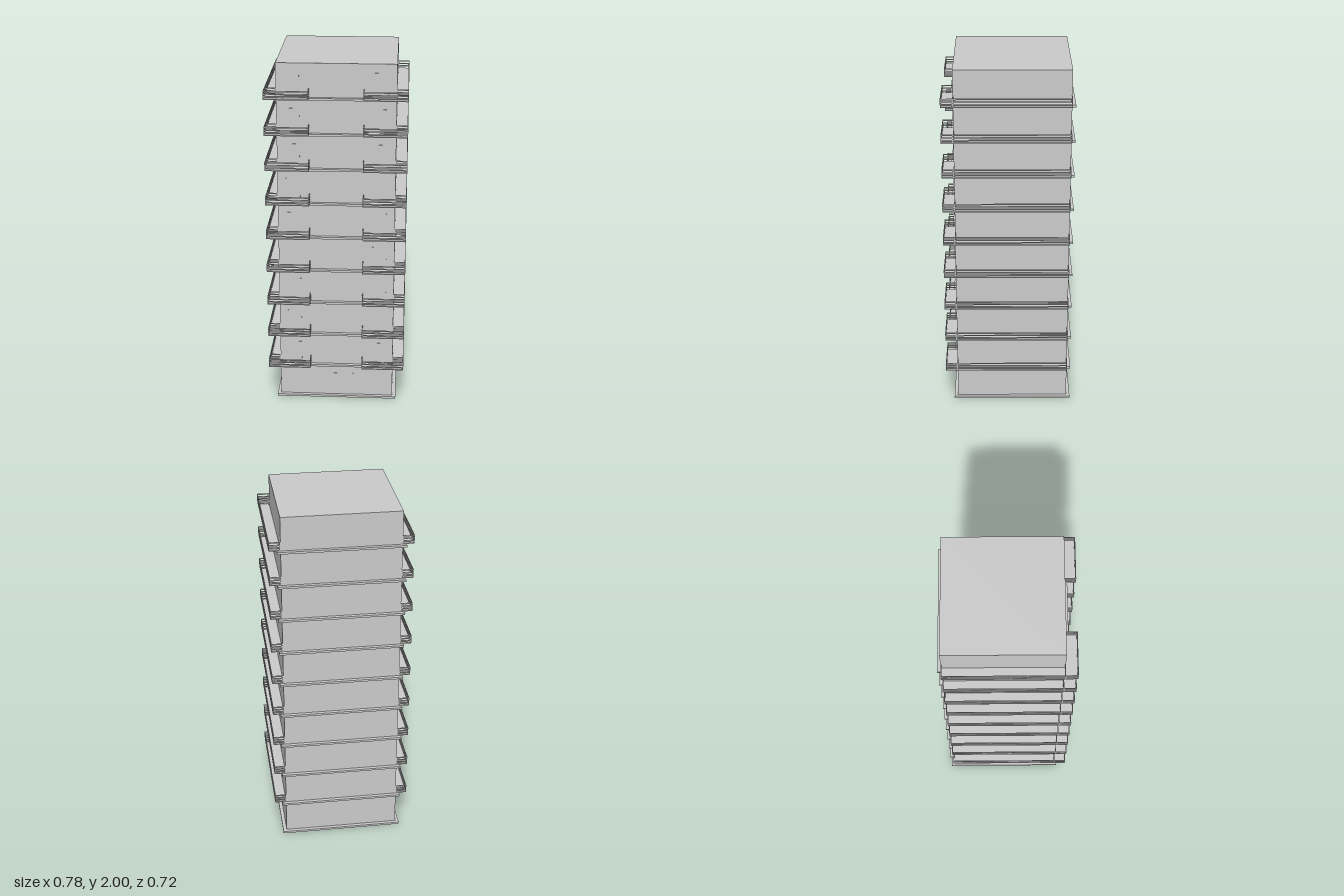
import * as THREE from 'three';

const FLOOR = 0.2, FLOORS = 10;
const WALL = { x: 0.325, back: -0.34, front: 0.295 };
const grey = new THREE.MeshStandardMaterial({ color: 0xcccccc, flatShading: true });
const greyDouble = new THREE.MeshStandardMaterial({ color: 0xcccccc, flatShading: true, side: THREE.DoubleSide });

// Box given by its min and max corners
function box(parent, name, x0, x1, y0, y1, z0, z1) {
  const mesh = new THREE.Mesh(new THREE.BoxGeometry(x1 - x0, y1 - y0, z1 - z0), grey);
  mesh.position.set((x0 + x1) / 2, (y0 + y1) / 2, (z0 + z1) / 2);
  mesh.name = name;
  parent.add(mesh);
  return mesh;
}

// Rectangular outline grown by d from the walls
function outline(Type, d) {
  const x = WALL.x + d, f = -(WALL.front + d), b = -(WALL.back - d);
  return new Type([[-x, f], [x, f], [x, b], [-x, b]].map(([u, v]) => new THREE.Vector2(u, v)));
}

// Slab with railings on the chosen sides
function balcony(name, x0, x1, z0, z1, sides) {
  const g = new THREE.Group();
  g.name = name;
  const t = 0.004;
  box(g, 'balconyFloor', x0, x1, 0.012, 0.018, z0, z1);
  const strips = {
    left: [x1 - t, x1, z0, z1],
    right: [x0, x0 + t, z0, z1],
    front: [x0, x1, z1 - t, z1],
    back: [x0, x1, z0, z0 + t],
  };
  for (const side of sides) {
    const [a, b, c, d] = strips[side];
    for (const y of [0.026, 0.040, 0.055]) box(g, 'rail', a, b, y, y + 0.007, c, d);
  }
  // Corner posts
  for (const x of [x0, x1 - t])
    for (const z of [z0, z1 - t]) box(g, 'railPost', x, x + t, 0.018, 0.062, z, z + t);
  return g;
}

export function createModel() {
  const model = new THREE.Group();
  model.name = 'apartmentTower';

  // Hollow tower: walls and roof, open underneath
  const shell = new THREE.BoxGeometry(2 * WALL.x, 2, WALL.front - WALL.back);
  const index = Array.from(shell.index.array);
  index.splice(18, 6);
  shell.setIndex(index);
  shell.clearGroups();
  const walls = new THREE.Mesh(shell, greyDouble);
  walls.name = 'walls';
  walls.position.set(0, 1, (WALL.front + WALL.back) / 2);
  model.add(walls);

  // Ledge ring that passes through the walls at every storey
  const ring = outline(THREE.Shape, 0.02);
  ring.holes.push(outline(THREE.Path, -0.015));
  const ledgeGeo = new THREE.ExtrudeGeometry(ring, { depth: 0.012, bevelEnabled: false });
  ledgeGeo.rotateX(-Math.PI / 2);

  // Entrance
  box(model, 'entranceDoor', -0.1, 0.1, 0.012, 0.15, WALL.front - 0.002, WALL.front + 0.001);

  for (let i = 0; i < FLOORS; i++) {
    const storey = new THREE.Group();
    storey.name = 'storey' + i;
    storey.position.y = i * FLOOR;
    const ledge = new THREE.Mesh(ledgeGeo, grey);
    ledge.name = 'ledge';
    storey.add(ledge);

    if (i > 0) {
      storey.add(
        balcony('leftSideBalcony', WALL.x, 0.388, WALL.back, WALL.front, ['left', 'front', 'back']),
        balcony('rightSideBalcony', -0.388, -WALL.x, WALL.back, WALL.front, ['right', 'front', 'back']),
        balcony('leftFrontBalcony', 0.147, 0.388, WALL.front, 0.36, ['left', 'right', 'front']),
        balcony('rightFrontBalcony', -0.388, -0.147, WALL.front, 0.36, ['left', 'right', 'front']),
      );
      // Balcony doors, almost flush with the front wall
      for (const x of [-0.24, 0.24])
        box(storey, 'balconyDoor', x - 0.04, x + 0.04, 0.012, 0.15, WALL.front - 0.002, WALL.front + 0.001);
    }
    model.add(storey);
  }
  return model;
}
